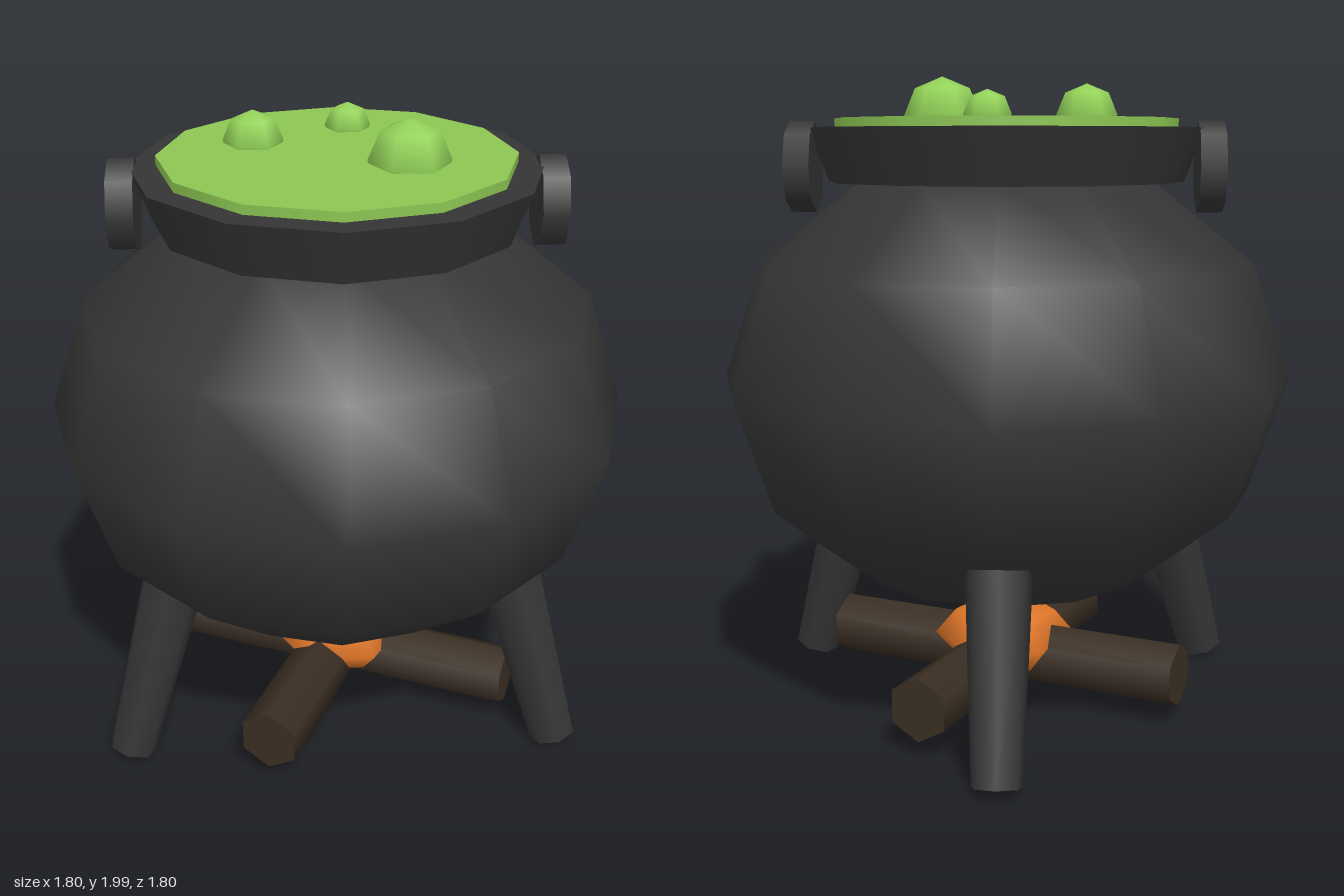
import * as THREE from 'three';

function flat(name, color) {
  const m = new THREE.MeshStandardMaterial({ color });
  m.name = name;
  return m;
}

export function createModel() {
  const iron = flat('black iron', 0x353535);
  const soupGreen = flat('soup green', 0x8cc653);
  const bubbleGreen = flat('bubble green', 0x93d358);
  const bark = flat('dark bark', 0x3a2e22);
  const ember = flat('ember orange', 0xdf7528);

  const model = new THREE.Group();
  model.name = 'cauldron';

  function add(name, geometry, material, x = 0, y = 0, z = 0) {
    const mesh = new THREE.Mesh(geometry, material);
    mesh.name = name;
    mesh.position.set(x, y, z);
    model.add(mesh);
    return mesh;
  }

  // Squashed round pot with a flared rim
  add('pot', new THREE.SphereGeometry(0.9, 12, 6).scale(1, 0.8, 1), iron, 0, 1.06, 0);
  add('rim', new THREE.CylinderGeometry(0.617, 0.555, 0.165, 12), iron, 0, 1.757, 0);

  // Liquid surface and bubbles
  add('soup', new THREE.CylinderGeometry(0.535, 0.535, 0.06, 12), soupGreen, 0, 1.838, 0);
  for (const [x, z, r] of [[0.205, 0.1, 0.123], [-0.25, -0.125, 0.092], [0.04, -0.29, 0.071]]) {
    add('bubble', new THREE.SphereGeometry(r, 6, 4), bubbleGreen, x, 1.877, z);
  }

  // Round side handles
  for (const side of [1, -1]) {
    const disc = new THREE.CylinderGeometry(0.141, 0.141, 0.08, 8).rotateZ(Math.PI / 2);
    add(side > 0 ? 'leftHandle' : 'rightHandle', disc, iron, side * 0.635, 1.72, 0);
  }

  // Three tapered legs splayed outwards
  for (const angle of [0.5, 2.6, 4.7]) {
    const leg = new THREE.CylinderGeometry(0.1, 0.075, 0.6, 7)
      .rotateX(-0.3)
      .translate(0, 0.313, 0.7)
      .rotateY(Math.PI / 2 - angle);
    add('leg', leg, iron);
  }

  // Crossed logs
  for (const turn of [Math.PI / 2 - 0.4, -0.4]) {
    const log = new THREE.CylinderGeometry(0.1, 0.1, 1.2, 6).rotateX(Math.PI / 2).rotateY(turn);
    add('log', log, bark, 0, 0.152, 0);
  }

  // Glowing embers over the crossing
  add('fire', new THREE.SphereGeometry(0.23, 6, 4).scale(1, 0.49, 1), ember, 0, 0.202, 0);

  return model;
}
